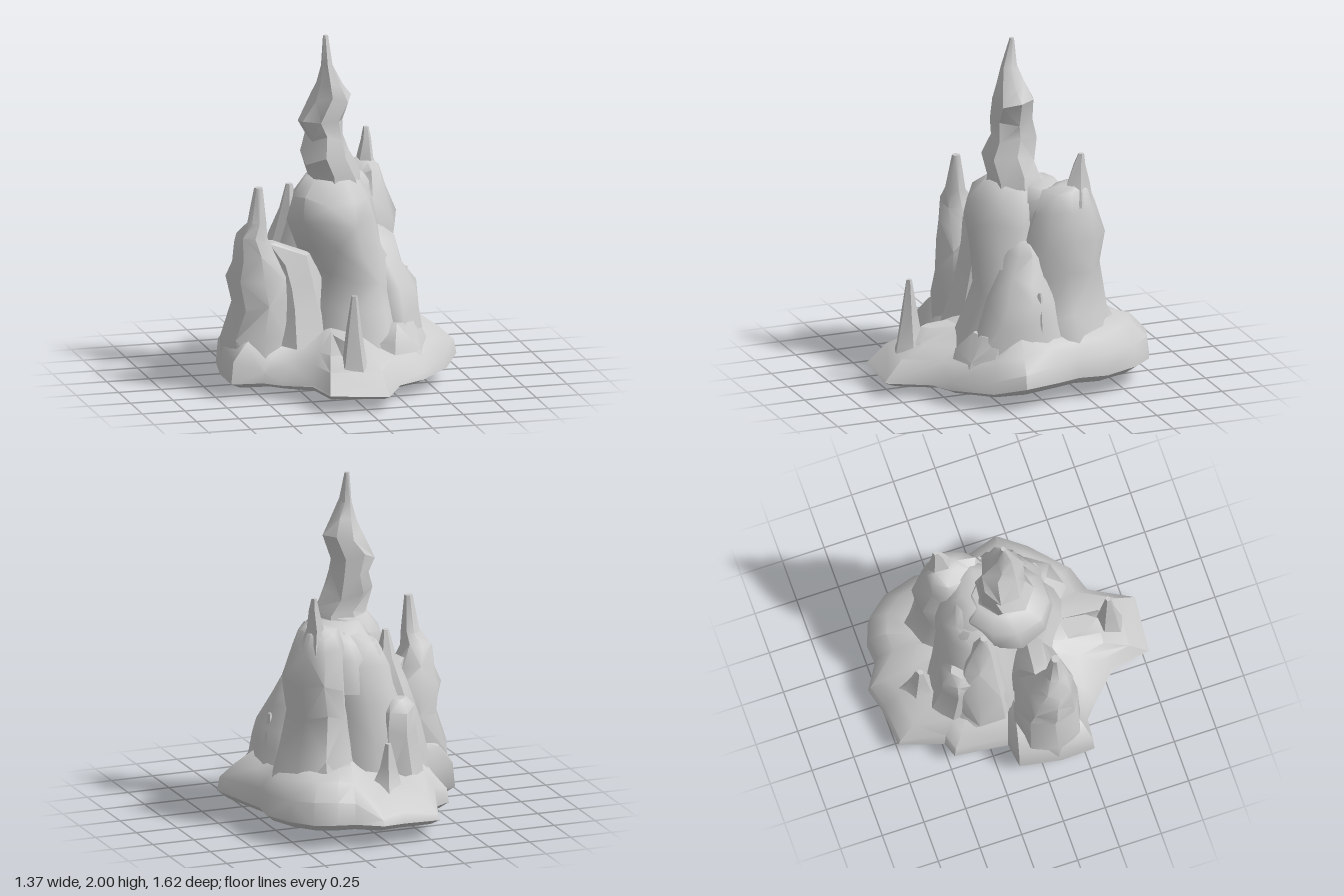
import * as THREE from 'three';
import { toCreasedNormals } from 'three/addons/utils/BufferGeometryUtils.js';

const rock = new THREE.MeshStandardMaterial({ color: 0xcccccc });

// Repeatable noise in -1..1
const noise = (n) => {
  const s = Math.sin(n * 127.1 + 3.7) * 43758.5453;
  return (s - Math.floor(s)) * 2 - 1;
};

// Skin a stack of rings (arrays of [x, y, z], bottom to top) and close both ends
function loft(name, rings, crease) {
  const n = rings[0].length;
  const pos = rings.flat(2);
  const index = [];
  for (let r = 0; r < rings.length - 1; r++) {
    for (let i = 0; i < n; i++) {
      const a = r * n + i, b = r * n + ((i + 1) % n);
      if ((r + i) % 2) index.push(a, a + n, b, b, a + n, b + n);
      else index.push(a, a + n, b + n, a, b + n, b);
    }
  }
  const ends = [rings[0], rings[rings.length - 1]];
  ends.forEach((ring, e) => {
    const c = pos.length / 3, start = e ? (rings.length - 1) * n : 0;
    for (let k = 0; k < 3; k++) pos.push(ring.reduce((s, p) => s + p[k], 0) / n);
    for (let i = 0; i < n; i++) {
      const a = start + i, b = start + ((i + 1) % n);
      if (e) index.push(a, c, b);
      else index.push(a, b, c);
    }
  });
  const g = new THREE.BufferGeometry();
  g.setAttribute('position', new THREE.Float32BufferAttribute(pos, 3));
  g.setIndex(index);
  const mesh = new THREE.Mesh(toCreasedNormals(g, crease), rock);
  mesh.name = name;
  return mesh;
}

// Rough column from levels of [y, xMin, xMax, zMin, zMax]
function column(name, levels, sides, seed, rough = 0.1, crease = 0.75) {
  const rings = levels.map(([y, x0, x1, z0, z1], r) =>
    Array.from({ length: sides }, (_, i) => {
      const a = (i / sides) * Math.PI * 2;
      const k = 1 + rough * noise(seed + r * 17 + i * 5);
      const lift = Math.min(x1 - x0, 0.25) * 0.12 * noise(seed + r * 7 + i * 3);
      return [
        (x0 + x1) / 2 + ((x1 - x0) / 2) * Math.cos(a) * k,
        y + (r === levels.length - 1 ? 0 : lift),
        (z0 + z1) / 2 + ((z1 - z0) / 2) * Math.sin(a) * k,
      ];
    }));
  return loft(name, rings, crease);
}

// Ground slab outline: [x, z, lower rim height, upper rim height]
const outline = [
  [0.06, -0.81, 0.13, 0.16], [0.2, -0.72, 0.13, 0.25], [0.31, -0.73, 0.14, 0.27],
  [0.44, -0.68, 0.14, 0.27], [0.54, -0.56, 0.14, 0.26], [0.6, -0.36, 0.13, 0.25],
  [0.58, -0.2, 0.13, 0.24], [0.62, -0.05, 0.13, 0.23], [0.69, 0.17, 0.14, 0.22],
  [0.59, 0.33, 0.1, 0.17], [0.4, 0.52, 0.09, 0.13], [0.25, 0.57, 0.08, 0.11],
  [0.12, 0.81, 0.08, 0.1], [-0.22, 0.78, 0.1, 0.11], [-0.26, 0.55, 0.1, 0.11],
  [-0.4, 0.4, 0.08, 0.11], [-0.49, 0.32, 0.08, 0.14], [-0.67, 0.3, 0.08, 0.21],
  [-0.68, 0.1, 0.09, 0.26], [-0.64, -0.14, 0.1, 0.24], [-0.5, -0.16, 0.1, 0.2],
  [-0.47, -0.47, 0.12, 0.2], [-0.38, -0.5, 0.11, 0.22], [-0.3, -0.75, 0.11, 0.15],
  [-0.08, -0.77, 0.12, 0.18],
];

function base() {
  const ring = (scale, height) => outline.map((p, i) =>
    [p[0] * scale, height(p, i), p[1] * scale]);
  return loft('base', [
    ring(0.2, () => 0),
    ring(0.6, () => 0.03),
    ring(0.91, (p) => p[2] * 0.65),
    ring(1, (p) => p[2]),
    ring(0.98, (p) => p[3]),
    ring(0.86, (p, i) => p[3] + 0.09 + 0.015 * noise(i)),
    ring(0.68, (p, i) => Math.min(p[3] + 0.15, 0.4) + 0.02 * noise(i + 40)),
    ring(0.4, (p) => Math.min(p[3] + 0.24, 0.44)),
  ], 0.8);
}

export function createModel() {
  const model = new THREE.Group();
  model.name = 'rockFormation';
  model.add(base());

  // Tall middle: bulging trunk and the knobbly pinnacle above it
  model.add(column('centralTrunk', [
    [0.25, -0.2, 0.46, -0.3, 0.41], [0.45, -0.14, 0.44, -0.3, 0.33],
    [0.62, -0.09, 0.39, -0.3, 0.28], [0.78, -0.19, 0.29, -0.25, 0.25],
    [0.95, -0.26, 0.26, -0.25, 0.27], [1.08, -0.23, 0.23, -0.25, 0.24],
    [1.18, -0.14, 0.15, -0.19, 0.13],
  ], 10, 1, 0.04, 1));
  model.add(column('pinnacle', [
    [1.1, -0.15, 0.2, -0.2, 0.15], [1.19, -0.13, 0.17, -0.17, 0.12],
    [1.3, -0.18, 0.11, -0.17, 0.15], [1.41, -0.13, 0.08, -0.18, 0.1],
    [1.52, -0.18, 0.07, -0.16, 0.09], [1.64, -0.1, 0.12, -0.15, 0.09],
    [1.73, -0.08, 0.07, -0.1, 0.07], [1.83, -0.055, 0.01, -0.06, 0.04],
    [2, -0.04, -0.01, -0.04, -0.015],
  ], 7, 5, 0.08, 0.6));

  // Saddle joining the trunk to the lobes behind it
  model.add(column('backSaddle', [
    [0.8, -0.2, 0.32, -0.4, 0.05], [1.0, -0.18, 0.3, -0.37, 0.04],
    [1.11, -0.12, 0.27, -0.32, 0.02], [1.17, -0.05, 0.2, -0.25, -0.02],
  ], 8, 18, 0.05, 1));

  // Back lobes with their spikes
  model.add(column('backLeftLobe', [
    [0.25, 0, 0.52, -0.56, 0.1], [0.45, 0.02, 0.47, -0.48, 0.05],
    [0.68, 0.05, 0.41, -0.45, 0.03], [0.87, 0.08, 0.44, -0.47, 0.02],
    [1.05, 0.08, 0.39, -0.42, -0.05], [1.15, 0.14, 0.35, -0.4, -0.1],
    [1.19, 0.22, 0.31, -0.35, -0.2],
  ], 9, 11, 0.05, 0.9));
  model.add(column('backLeftSpike', [
    [1.05, 0.2, 0.37, -0.39, -0.2], [1.18, 0.23, 0.335, -0.38, -0.23],
    [1.3, 0.265, 0.32, -0.35, -0.27], [1.37, 0.28, 0.31, -0.34, -0.305],
  ], 5, 12));
  model.add(column('backRightLobe', [
    [0.25, -0.42, 0.22, -0.52, 0.1], [0.5, -0.38, 0.22, -0.46, 0.08],
    [0.72, -0.3, 0.22, -0.43, 0.05], [0.92, -0.23, 0.22, -0.39, 0.03],
    [1.06, -0.15, 0.22, -0.34, 0], [1.13, -0.04, 0.18, -0.27, -0.04],
  ], 9, 23, 0.05, 0.9));
  model.add(column('backRightSpike', [
    [0.35, -0.44, -0.1, -0.4, -0.06], [0.6, -0.39, -0.11, -0.37, -0.08],
    [0.8, -0.3, -0.12, -0.32, -0.11], [0.95, -0.25, -0.13, -0.27, -0.14],
    [1.1, -0.21, -0.17, -0.22, -0.18],
  ], 7, 31, 0.07));
  model.add(column('backShoulder', [
    [0.3, -0.34, -0.04, -0.52, -0.2], [0.55, -0.32, -0.06, -0.47, -0.2],
    [0.68, -0.31, -0.08, -0.46, -0.22], [0.74, -0.26, -0.12, -0.4, -0.24],
  ], 7, 37, 0.07));

  // Side tower on the right with its spire
  model.add(column('sideTower', [
    [0.14, -0.67, -0.25, -0.12, 0.29], [0.3, -0.68, -0.26, -0.12, 0.28],
    [0.5, -0.61, -0.27, -0.1, 0.27], [0.66, -0.64, -0.28, -0.08, 0.25],
    [0.78, -0.61, -0.34, -0.04, 0.24], [0.89, -0.6, -0.41, 0.02, 0.22],
    [0.97, -0.53, -0.42, 0.07, 0.2], [1.18, -0.49, -0.44, 0.11, 0.16],
  ], 8, 44, 0.05));
  model.add(column('sideRidge', [
    [0.25, -0.45, -0.02, -0.14, 0.3], [0.45, -0.42, -0.06, -0.12, 0.25],
    [0.62, -0.42, -0.08, -0.08, 0.21], [0.74, -0.42, -0.14, -0.03, 0.16],
    [0.84, -0.43, -0.34, 0.03, 0.12],
  ], 7, 52, 0.1, 0.5));

  // Left buttress spreading down from the trunk
  model.add(column('leftButtress', [
    [0.25, 0.13, 0.53, -0.24, 0.37], [0.42, 0.13, 0.49, -0.2, 0.32],
    [0.55, 0.12, 0.48, -0.17, 0.26], [0.68, 0.1, 0.41, -0.14, 0.19],
    [0.8, 0.08, 0.37, -0.11, 0.12], [0.88, 0.06, 0.29, -0.08, 0.06],
  ], 9, 66, 0.05, 0.9));
  model.add(column('frontLeftLedge', [
    [0.15, 0.08, 0.5, 0.12, 0.48], [0.27, 0.12, 0.48, 0.12, 0.43],
    [0.38, 0.2, 0.44, 0.08, 0.34],
  ], 7, 81, 0.06));

  // Small spikes on the slab: [name, x, z, foot height, tip height, foot radius]
  const spikes = [
    ['frontSpike', -0.03, 0.6, 0.12, 0.63, 0.12],
    ['leftSpike', 0.44, -0.01, 0.25, 0.62, 0.08],
    ['backSpike', -0.07, -0.54, 0.22, 0.53, 0.13],
  ];
  spikes.forEach(([name, x, z, y0, y1, r], s) => {
    const levels = [[0, 1], [0.25, 0.65], [0.6, 0.4], [1, 0.14]].map(([t, k]) =>
      [y0 + (y1 - y0) * t, x - r * k, x + r * k, z - r * k, z + r * k]);
    model.add(column(name, levels, 5, 70 + s * 9));
  });

  // Ridge running from the trunk to the front spike
  model.add(column('frontRidge', [
    [0.12, -0.2, 0.14, 0.1, 0.7], [0.25, -0.13, 0.08, 0.12, 0.64],
    [0.34, -0.08, 0.04, 0.15, 0.54],
  ], 8, 95, 0.05));
  return model;
}
